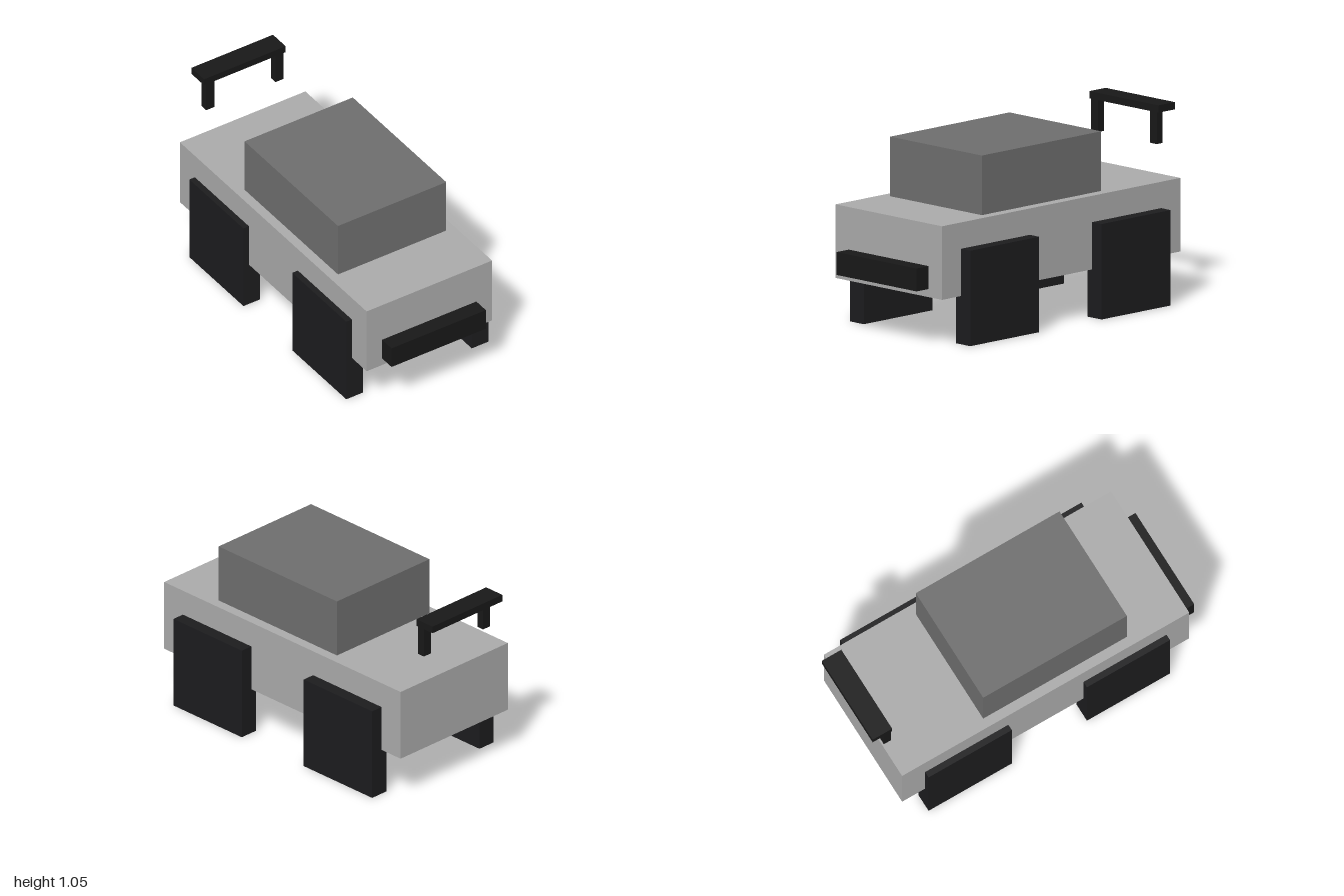
import * as THREE from 'three';

const paint = (color) => new THREE.MeshStandardMaterial({ color, flatShading: true });

export function createModel() {
  const model = new THREE.Group();
  const bodyGrey = paint(0xaaaaaa);
  const cabinGrey = paint(0x6e6e6e);
  const tyreBlack = paint(0x1c1c1e);
  const trimBlack = paint(0x181818);

  // Adds a box spanning the given [min, max] ranges
  const block = (name, material, [x0, x1], [y0, y1], [z0, z1], parent = model) => {
    const mesh = new THREE.Mesh(new THREE.BoxGeometry(x1 - x0, y1 - y0, z1 - z0), material);
    mesh.position.set((x0 + x1) / 2, (y0 + y1) / 2, (z0 + z1) / 2);
    mesh.name = name;
    parent.add(mesh);
  };

  // Body, cabin and front bumper
  block('body', bodyGrey, [-0.425, 0.388], [0.265, 0.67], [-0.9, 0.908]);
  block('cabin', cabinGrey, [-0.37, 0.331], [0.67, 0.998], [-0.356, 0.549]);
  block('frontBumper', trimBlack, [-0.325, 0.286], [0.31, 0.436], [0.9, 1]);

  // Four square wheels, partly sunk into the body sides
  const sides = { Right: [-0.461, -0.354], Left: [0.352, 0.46] };
  const axles = { front: [0.242, 0.765], rear: [-0.755, -0.231] };
  for (const [axle, z] of Object.entries(axles)) {
    for (const [side, x] of Object.entries(sides)) {
      block(`${axle}${side}Wheel`, tyreBlack, x, [0, 0.525], z);
    }
  }

  // Raised rear spoiler: a blade on two short posts
  const spoiler = new THREE.Group();
  spoiler.name = 'spoiler';
  model.add(spoiler);
  block('spoilerBlade', trimBlack, [-0.284, 0.245], [1.011, 1.051], [-1, -0.877], spoiler);
  block('rightSpoilerPost', trimBlack, [-0.27, -0.217], [0.836, 1.011], [-0.921, -0.877], spoiler);
  block('leftSpoilerPost', trimBlack, [0.179, 0.232], [0.836, 1.011], [-0.921, -0.877], spoiler);

  return model;
}
